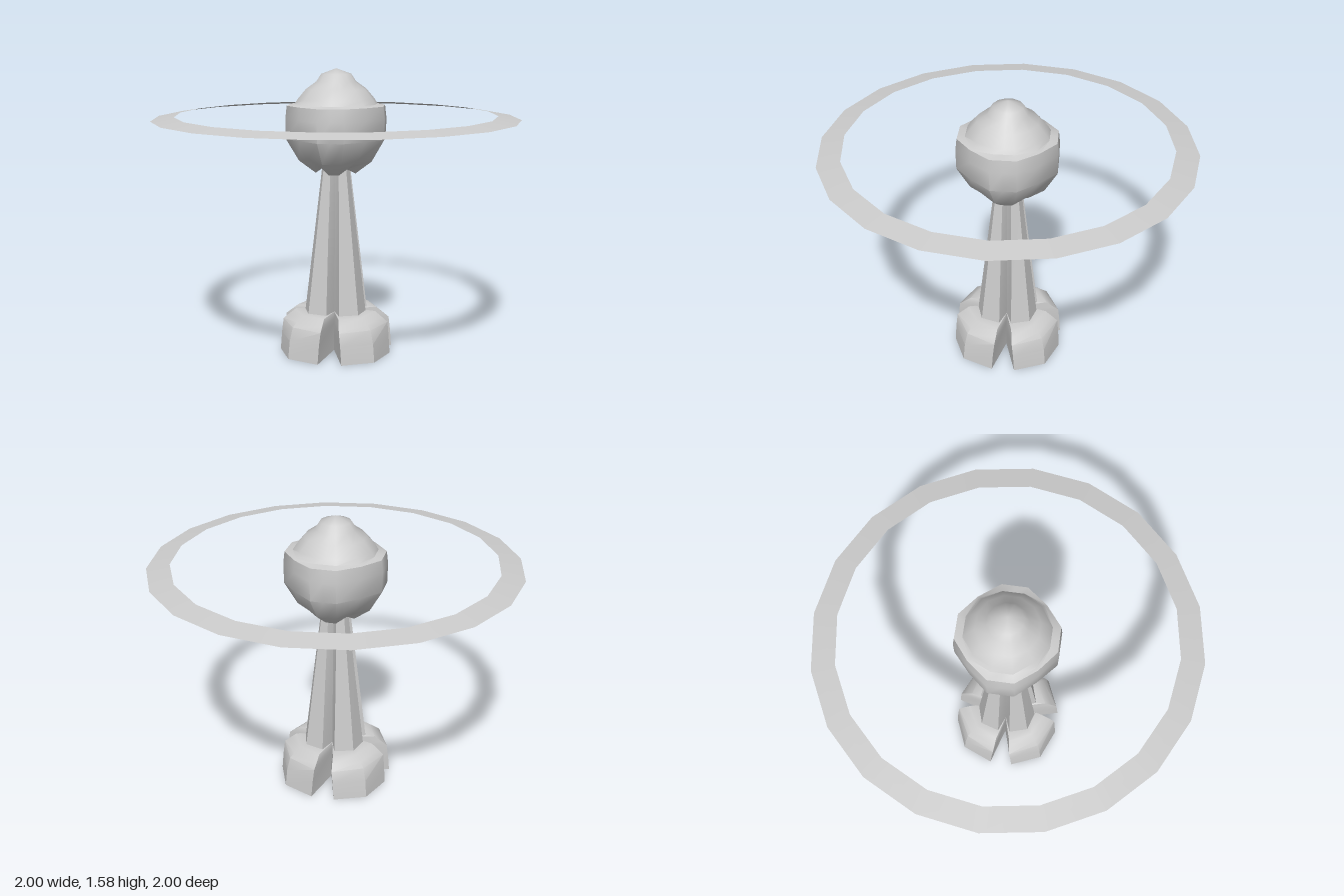
import * as THREE from 'three';
import { toCreasedNormals } from 'three/addons/utils/BufferGeometryUtils.js';

const material = new THREE.MeshStandardMaterial({ color: 0xcccccc, side: THREE.DoubleSide });

// Repeats one quadrant of [x, y, z] points four times around the y axis.
function fourfold(quadrant) {
  const ring = [];
  for (let q = 0; q < 4; q++) {
    const c = Math.round(Math.cos(q * Math.PI / 2)), s = Math.round(Math.sin(q * Math.PI / 2));
    for (const [x, y, z] of quadrant) ring.push([x * c - z * s, y, x * s + z * c]);
  }
  return ring;
}

// Skins closed rings listed from bottom to top.
function loft(rings, crease) {
  const n = rings[0].length, index = [];
  for (let i = 0; i < rings.length - 1; i++) {
    for (let j = 0; j < n; j++) {
      const a = i * n + j, b = i * n + (j + 1) % n;
      index.push(a, a + n, b, b, a + n, b + n);
    }
  }
  const geometry = new THREE.BufferGeometry();
  geometry.setAttribute('position', new THREE.Float32BufferAttribute(rings.flat(2), 3));
  geometry.setIndex(index);
  return toCreasedNormals(geometry, crease);
}

function add(group, name, geometry) {
  const mesh = new THREE.Mesh(geometry, material);
  mesh.name = name;
  group.add(mesh);
}

// Head section: narrow flats on the axes, broad petals on the diagonals.
function headRing([axis, diagonal, yAxis, yDiagonal = yAxis]) {
  const w = axis * 0.26, d = diagonal * Math.SQRT1_2;
  return fourfold([[axis, yAxis, 0], [axis, yAxis, w], [d, yDiagonal, d], [w, yAxis, axis]]);
}

// Pedestal section: four diagonal lobes with deep valleys between them.
function pedestalRing([y, valley, edge, gap, mid, yValley = y]) {
  return fourfold([[valley, yValley, 0], [edge, y, gap], [mid, y, mid], [gap, y, edge]]);
}

export function createModel() {
  const model = new THREE.Group();

  // Hollow four-lobed shaft
  add(model, 'shaft', loft([
    [0.22, 0.08, 0.172, 0.035, 0.14],
    [0.64, 0.065, 0.122, 0.03, 0.1],
    [1.06, 0.045, 0.073, 0.022, 0.06],
  ].map(pedestalRing), 0.7));

  // Flared feet, open underneath
  add(model, 'feet', loft([
    [0, 0.1, 0.31, 0.065, 0.238, 0.015],
    [0.1, 0.095, 0.303, 0.058, 0.23],
    [0.175, 0.09, 0.295, 0.05, 0.215],
    [0.2, 0.088, 0.265, 0.045, 0.195],
    [0.232, 0.085, 0.225, 0.04, 0.165],
    [0.234, 0.08, 0.171, 0.035, 0.139],
  ].map(pedestalRing), 0.7));

  // Bulbous head with a ledge below the dome
  add(model, 'head', loft([
    [0, 0, 1.04],
    [0.07, 0.08, 1.04],
    [0.11, 0.1, 1.01, 1.04],
    [0.2, 0.19, 1.08, 1.1],
    [0.268, 0.248, 1.2],
    [0.27, 0.255, 1.31],
    [0.262, 0.25, 1.38],
    [0.22, 0.235, 1.39],
    [0.205, 0.215, 1.415],
    [0.16, 0.165, 1.47],
    [0.105, 0.108, 1.51],
    [0.08, 0.082, 1.55],
    [0, 0, 1.58],
  ].map(headRing), 0.75));

  // Thin, slightly sloped floating ring
  const ring = new THREE.CylinderGeometry(0.875, 1, 0.02, 20, 1, true);
  ring.translate(0, 1.32, 0);
  add(model, 'ring', ring);

  return model;
}
